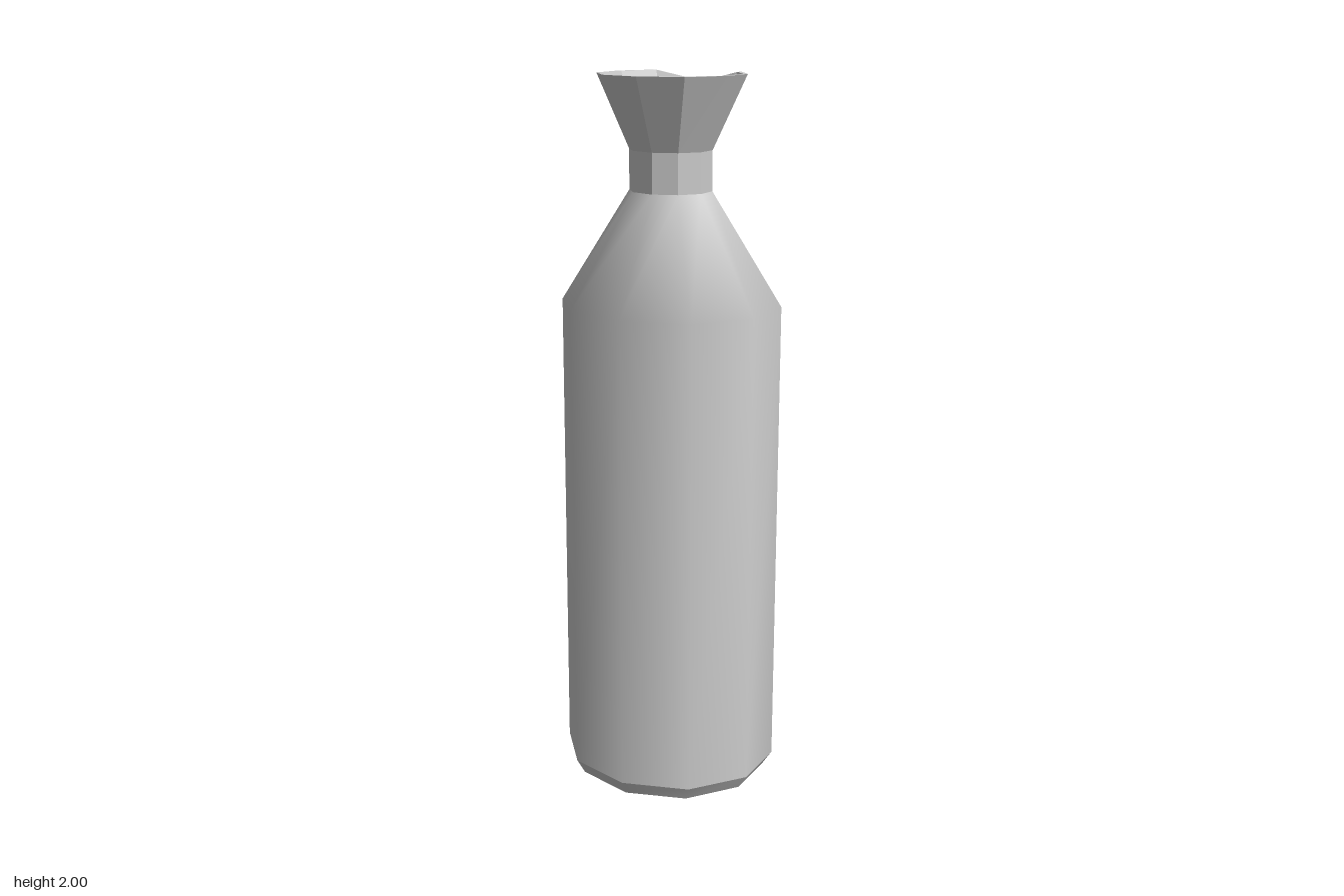
import * as THREE from 'three';

const SIDES = 10;

// One ten-sided oval ring: height, x radius, z radius, z centre.
// dip lowers the rearmost corner; flare widens the two corners beside it.
function ring(y, rx, rz, cz, dip = 0, flare = 1) {
  return Array.from({ length: SIDES }, (_, i) => {
    const a = (i / SIDES) * Math.PI * 2;
    const wide = i === 4 || i === 6 ? flare : 1;
    return [Math.sin(a) * rx * wide, y - (i === 5 ? dip : 0), Math.cos(a) * rz + cz];
  });
}

// Skin a stack of rings, optionally closing the first or last one.
function loft(rings, { flat = false, capStart = false, capEnd = false } = {}) {
  const index = [];
  for (let r = 0; r < rings.length - 1; r++) {
    for (let i = 0; i < SIDES; i++) {
      const j = (i + 1) % SIDES;
      const a = r * SIDES + i, b = r * SIDES + j;
      index.push(a, b, b + SIDES, a, b + SIDES, a + SIDES);
    }
  }
  const last = (rings.length - 1) * SIDES;
  for (let i = 1; i < SIDES - 1; i++) {
    if (capStart) index.push(0, i + 1, i);
    if (capEnd) index.push(last, last + i, last + i + 1);
  }
  let geo = new THREE.BufferGeometry();
  geo.setAttribute('position', new THREE.Float32BufferAttribute(rings.flat(2), 3));
  geo.setIndex(index);
  if (flat) geo = geo.toNonIndexed();
  geo.computeVertexNormals();
  return geo;
}

export function createModel() {
  const model = new THREE.Group();
  model.name = 'bottle';
  const smooth = new THREE.MeshStandardMaterial({ color: 0xcccccc });
  const faceted = new THREE.MeshStandardMaterial({ color: 0xcccccc, flatShading: true });
  const add = (name, geo, mat) => {
    const mesh = new THREE.Mesh(geo, mat);
    mesh.name = name;
    model.add(mesh);
  };

  const base = ring(0, 0.285, 0.264, 0.004);
  const foot = ring(0.04, 0.312, 0.284, 0.003);
  const shoulder = ring(1.38, 0.312, 0.284, -0.004);
  const neckLow = ring(1.69, 0.116, 0.106, -0.005);
  const neckTop = ring(1.8, 0.116, 0.106, -0.005);
  const rimOuter = ring(2, 0.207, 0.194, -0.0095, 0.03, 1.09);
  const rimInner = ring(2, 0.195, 0.182, -0.008, 0.03, 1.09);
  const floor = ring(1.8, 0.11, 0.1, -0.0055);

  // Rounded-looking body running into the sloped shoulder
  add('body', loft([foot, shoulder, neckLow]), smooth);

  // Bevelled foot and underside
  add('footBevel', loft([base, foot]), smooth);
  add('underside', loft([base], { flat: true, capStart: true }), faceted);

  // Faceted neck, flared mouth with a dipped back corner, and hollow inside
  add('neck', loft([neckLow, neckTop], { flat: true }), faceted);
  add('mouth', loft([neckTop, rimOuter, rimInner, floor], { flat: true, capEnd: true }), faceted);

  return model;
}
